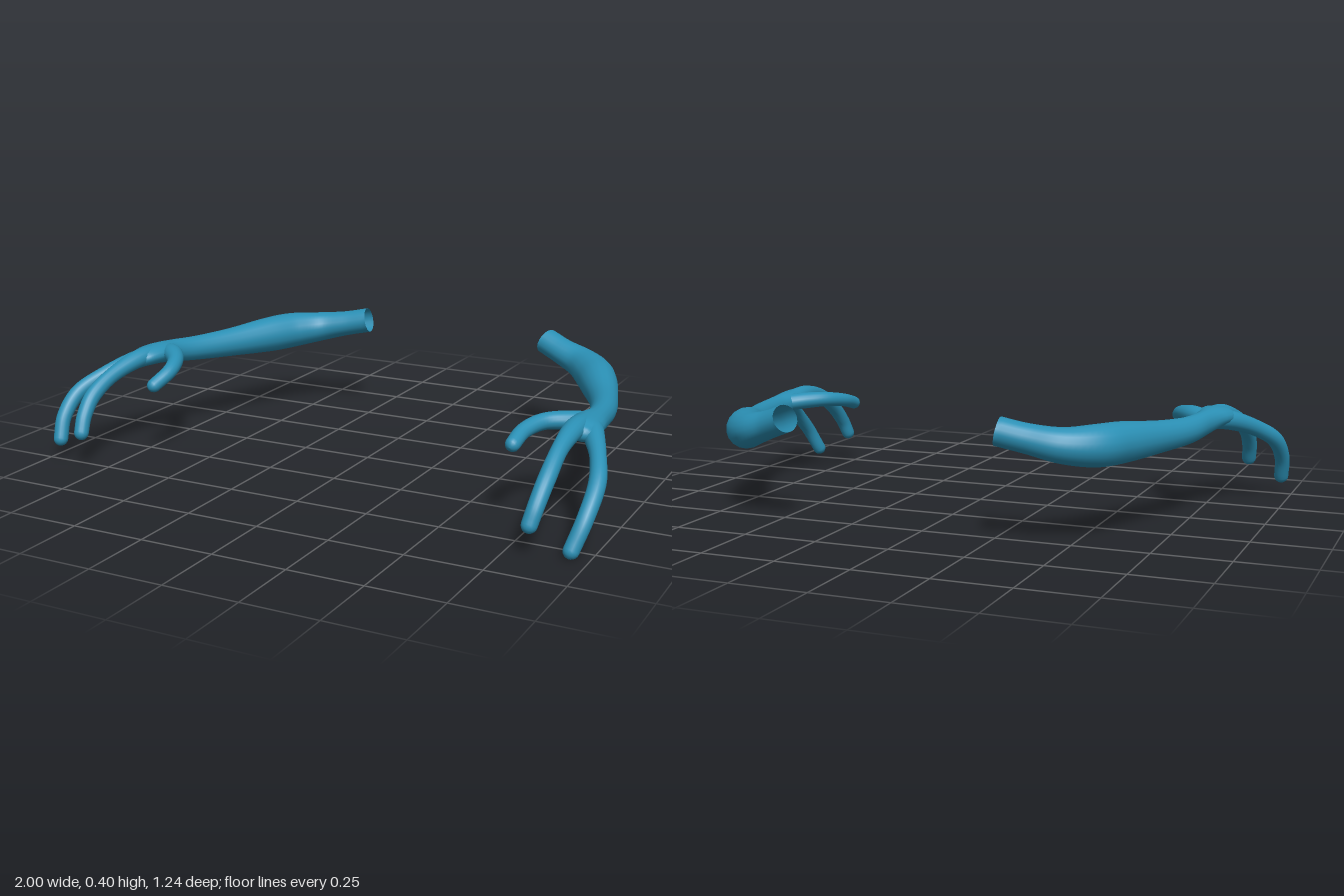
import * as THREE from 'three';

const skin = new THREE.MeshStandardMaterial({ color: 0x2b90b5, side: THREE.DoubleSide });
skin.name = 'blue skin';

const SIDES = 18;

// Smooth limb along points [x, y, z, halfWidth, halfHeight]; open start, rounded end.
function limb(name, pts) {
  const path = new THREE.CatmullRomCurve3(pts.map(p => new THREE.Vector3(p[0], p[1], p[2])), false, 'catmullrom', 0.5);
  const size = new THREE.CatmullRomCurve3(pts.map(p => new THREE.Vector3(p[3], p[4], 0)), false, 'catmullrom', 0.5);
  const steps = (pts.length - 1) * 6;
  const pos = [], idx = [];
  let side = null;
  let rings = 0;

  const addRing = (c, s, u, w, h) => {
    for (let j = 0; j < SIDES; j++) {
      const a = (j / SIDES) * Math.PI * 2;
      const p = c.clone().addScaledVector(s, Math.cos(a) * w).addScaledVector(u, Math.sin(a) * h);
      pos.push(p.x, p.y, p.z);
    }
    rings++;
  };

  for (let i = 0; i <= steps; i++) {
    const c = path.getPoint(i / steps);
    const t = path.getTangent(i / steps);
    const r = size.getPoint(i / steps);
    // Carry the frame along the path so that sections do not twist
    if (!side) side = new THREE.Vector3(0, 1, 0).cross(t);
    side.addScaledVector(t, -side.dot(t)).normalize();
    const up = t.clone().cross(side);
    addRing(c, side, up, r.x, r.y);
    if (i === steps) {
      for (let k = 1; k <= 5; k++) {
        const a = (k / 5) * 1.55;
        const tip = c.clone().addScaledVector(t, Math.sin(a) * Math.min(r.x, r.y));
        addRing(tip, side, up, r.x * Math.cos(a), r.y * Math.cos(a));
      }
    }
  }
  for (let i = 0; i < rings - 1; i++) {
    for (let j = 0; j < SIDES; j++) {
      const k = (j + 1) % SIDES;
      const a = i * SIDES + j, b = i * SIDES + k;
      idx.push(a, b, a + SIDES, b, b + SIDES, a + SIDES);
    }
  }
  const g = new THREE.BufferGeometry();
  g.setAttribute('position', new THREE.Float32BufferAttribute(pos, 3));
  g.setIndex(idx);
  g.computeVertexNormals();
  const m = new THREE.Mesh(g, skin);
  m.name = name;
  return m;
}

function arm(name, parts) {
  const g = new THREE.Group();
  g.name = name;
  for (const [part, pts] of Object.entries(parts)) g.add(limb(part, pts));
  return g;
}

export function createModel() {
  const model = new THREE.Group();
  model.name = 'pair of arms';

  model.add(arm('rightArm', {
    forearmAndPalm: [
      [-0.285, 0.36, -0.57, 0.05, 0.046],
      [-0.38, 0.34, -0.555, 0.051, 0.047],
      [-0.48, 0.322, -0.53, 0.059, 0.056],
      [-0.56, 0.315, -0.46, 0.069, 0.066],
      [-0.612, 0.312, -0.36, 0.064, 0.066],
      [-0.685, 0.308, -0.2, 0.05, 0.053],
      [-0.745, 0.31, -0.06, 0.043, 0.045],
      [-0.776, 0.32, 0.05, 0.037, 0.041],
      [-0.785, 0.329, 0.13, 0.057, 0.037],
      [-0.8, 0.327, 0.19, 0.058, 0.033],
      [-0.81, 0.32, 0.22, 0.045, 0.028],
    ],
    outerFinger: [
      [-0.79, 0.325, 0.12, 0.032, 0.033],
      [-0.84, 0.31, 0.2, 0.034, 0.033],
      [-0.905, 0.272, 0.3, 0.026, 0.028],
      [-0.955, 0.222, 0.385, 0.027, 0.028],
      [-0.971, 0.15, 0.45, 0.026, 0.026],
      [-0.965, 0.075, 0.485, 0.025, 0.025],
    ],
    innerFinger: [
      [-0.78, 0.33, 0.13, 0.035, 0.034],
      [-0.8, 0.328, 0.23, 0.034, 0.032],
      [-0.828, 0.292, 0.35, 0.026, 0.027],
      [-0.845, 0.24, 0.44, 0.027, 0.028],
      [-0.846, 0.18, 0.495, 0.026, 0.026],
      [-0.84, 0.125, 0.525, 0.025, 0.025],
    ],
    thumb: [
      [-0.775, 0.328, 0.09, 0.033, 0.03],
      [-0.72, 0.334, 0.135, 0.035, 0.03],
      [-0.668, 0.326, 0.195, 0.028, 0.027],
      [-0.647, 0.305, 0.265, 0.026, 0.025],
      [-0.664, 0.27, 0.335, 0.024, 0.024],
    ],
  }));

  model.add(arm('leftArm', {
    forearmAndPalm: [
      [0.445, 0.355, -0.577, 0.05, 0.046],
      [0.52, 0.328, -0.55, 0.051, 0.047],
      [0.6, 0.303, -0.52, 0.058, 0.056],
      [0.668, 0.287, -0.45, 0.067, 0.066],
      [0.718, 0.28, -0.36, 0.064, 0.066],
      [0.78, 0.27, -0.22, 0.05, 0.052],
      [0.825, 0.272, -0.08, 0.043, 0.045],
      [0.846, 0.279, 0.05, 0.04, 0.041],
      [0.848, 0.29, 0.14, 0.054, 0.037],
      [0.855, 0.295, 0.21, 0.055, 0.033],
      [0.86, 0.291, 0.25, 0.042, 0.028],
    ],
    outerFinger: [
      [0.85, 0.29, 0.13, 0.032, 0.033],
      [0.887, 0.283, 0.215, 0.034, 0.033],
      [0.937, 0.25, 0.32, 0.026, 0.028],
      [0.97, 0.198, 0.42, 0.027, 0.028],
      [0.968, 0.12, 0.51, 0.026, 0.026],
      [0.945, 0.032, 0.56, 0.025, 0.025],
    ],
    innerFinger: [
      [0.84, 0.293, 0.14, 0.035, 0.034],
      [0.84, 0.303, 0.26, 0.034, 0.032],
      [0.842, 0.278, 0.39, 0.026, 0.028],
      [0.842, 0.22, 0.495, 0.027, 0.028],
      [0.835, 0.155, 0.56, 0.026, 0.026],
      [0.825, 0.1, 0.588, 0.025, 0.025],
    ],
    thumb: [
      [0.84, 0.288, 0.11, 0.033, 0.03],
      [0.78, 0.295, 0.155, 0.035, 0.03],
      [0.72, 0.296, 0.21, 0.028, 0.027],
      [0.688, 0.284, 0.29, 0.026, 0.025],
      [0.684, 0.263, 0.37, 0.024, 0.024],
    ],
  }));

  return model;
}
